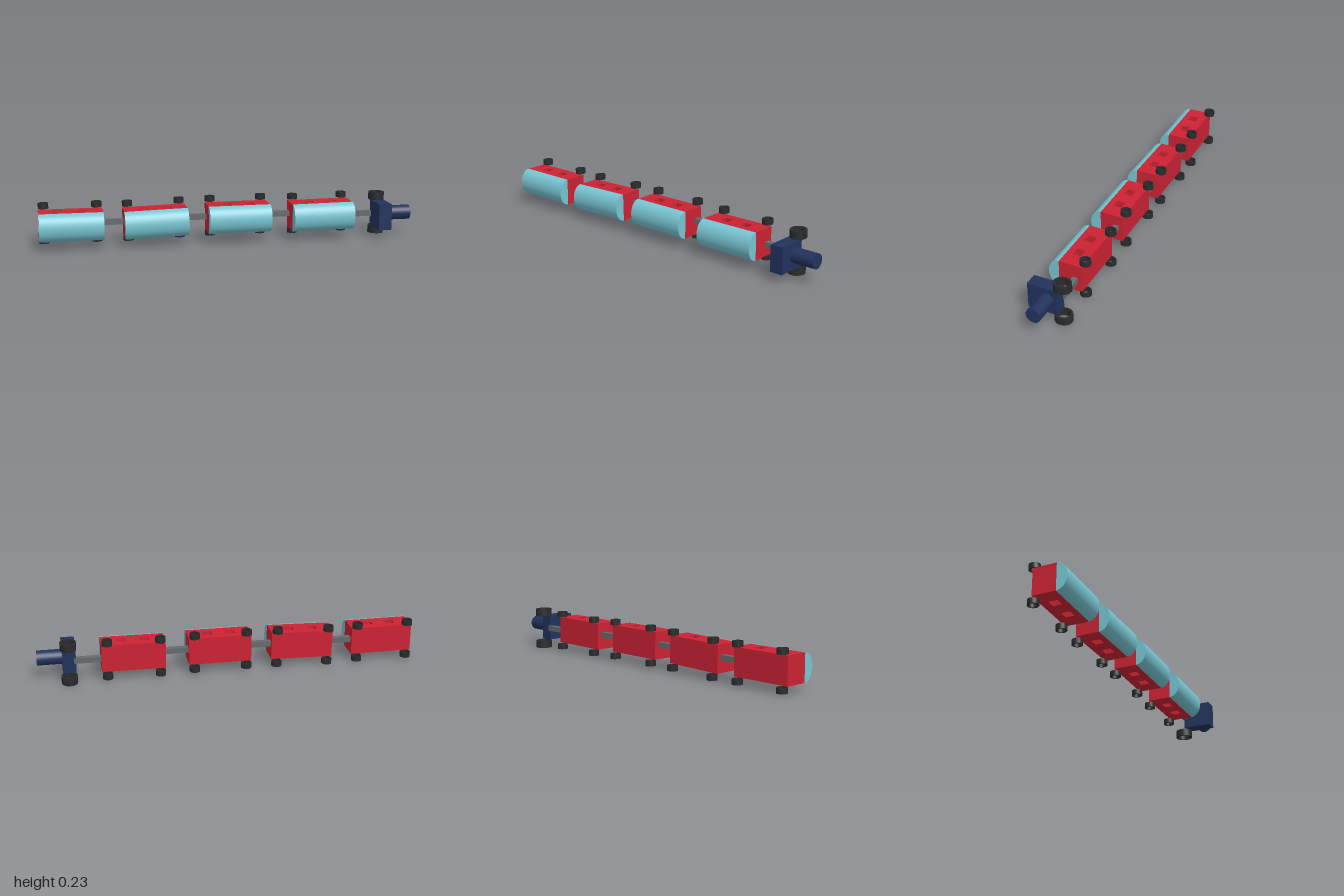
import * as THREE from 'three';

const material = (color) => new THREE.MeshStandardMaterial({ color });
const red = material(0xcc2233);
const teal = material(0x78c5d2);
const navy = material(0x21325c);
const black = material(0x2a2b2c);
const grey = material(0x666a6c);

function add(parent, name, geometry, mat, x = 0, y = 0, z = 0) {
  const mesh = new THREE.Mesh(geometry, mat);
  mesh.name = name;
  mesh.position.set(x, y, z);
  parent.add(mesh);
  return mesh;
}

// Hollow, slightly oval wheel with its axis along y
function wheelGeometry(rx, rz, height) {
  const h = height / 2, inner = 0.76;
  // each face has its own points so the rims stay sharp
  const profile = [[inner, -h], [1, -h], [1, -h], [1, h], [1, h], [inner, h], [inner, h], [inner, -h]];
  const index = [];
  const geometry = new THREE.LatheGeometry(profile.map(([r, y]) => new THREE.Vector2(r, y)), 32);
  // keep only the real faces, dropping the zero-width strips at the corners
  for (let i = 0; i < 32; i++) {
    for (let j = 0; j < 7; j += 2) {
      const a = i * 8 + j, b = a + 8;
      index.push(a, b, a + 1, b + 1, a + 1, b);
    }
  }
  geometry.setIndex(index);
  geometry.scale(rx, 1, rz);
  const flat = geometry;
  flat.computeVertexNormals();
  return flat;
}

const LENGTH = 0.332, HALF = 0.073;

// Red body: side outline in x/z with two square windows cut right through
function bodyGeometry() {
  const x = LENGTH / 2;
  const shape = new THREE.Shape();
  shape.moveTo(-x, -0.05).lineTo(x, -0.05).lineTo(x, 0.075).lineTo(-x, 0.075).closePath();
  for (const cx of [0.104 - x, 0.227 - x]) {
    const hole = new THREE.Path();
    hole.moveTo(cx - 0.024, -0.015).lineTo(cx - 0.024, 0.031);
    hole.lineTo(cx + 0.024, 0.031).lineTo(cx + 0.024, -0.015).closePath();
    shape.holes.push(hole);
  }
  const geometry = new THREE.ExtrudeGeometry(shape, { depth: 2 * HALF, bevelEnabled: false });
  // shape y becomes -z, extrusion becomes y
  return geometry.rotateX(-Math.PI / 2).translate(0, -HALF, 0);
}

// Rounded roof: half ellipse run along the wagon
function roofGeometry() {
  const shape = new THREE.Shape();
  shape.absellipse(0, 0, 0.056, HALF, -Math.PI / 2, Math.PI / 2, false, 0);
  shape.closePath();
  const geometry = new THREE.ExtrudeGeometry(shape, { depth: LENGTH, bevelEnabled: false, curveSegments: 24 });
  // shape x becomes z, extrusion becomes -x
  return geometry.rotateY(-Math.PI / 2).translate(LENGTH / 2, 0, 0.05);
}

export function createModel() {
  const model = new THREE.Group();
  model.name = 'toyTrain';

  // Wagons: centre x, centre y, small tilt
  const body = bodyGeometry(), roof = roofGeometry();
  const wagonWheel = wheelGeometry(0.027, 0.029, 0.028);
  const wagons = [[-0.834, 0.119, 0], [-0.394, 0.12, 0.028], [0.048, 0.127, 0.004], [0.503, 0.123, 0.01]];
  for (const [x, y, tilt] of wagons) {
    const wagon = new THREE.Group();
    wagon.name = 'wagon';
    wagon.position.set(x, y, 0);
    wagon.rotation.z = tilt;
    add(wagon, 'wagonBody', body, red);
    add(wagon, 'wagonRoof', roof, teal);
    for (const wx of [-0.138, 0.138]) {
      for (const side of [-1, 1]) add(wagon, 'wagonWheel', wagonWheel, black, wx, side * 0.0925, -0.081);
    }
    model.add(wagon);
  }

  // Coupling bars: start x, end x, height
  for (const [a, b, y] of [[-0.68, -0.55, 0.121], [-0.24, -0.11, 0.13], [0.205, 0.345, 0.13], [0.66, 0.81, 0.114]]) {
    add(model, 'coupling', new THREE.BoxGeometry(b - a, 0.029, 0.029), grey, (a + b) / 2, y, -0.039);
  }

  // Engine: upright cab, boiler pointing along +x, one pair of large wheels
  const engine = new THREE.Group();
  engine.name = 'engine';
  add(engine, 'cab', new THREE.BoxGeometry(0.07, 0.14, 0.157), navy, 0.835, 0.117, 0.032);
  const boiler = new THREE.CylinderGeometry(0.039, 0.039, 0.135, 32).rotateZ(Math.PI / 2);
  add(engine, 'boiler', boiler, navy, 0.9325, 0.122, 0.008);
  const engineWheel = wheelGeometry(0.042, 0.0465, 0.041);
  for (const y of [0.0215, 0.207]) add(engine, 'engineWheel', engineWheel, black, 0.838, y, -0.063);
  model.add(engine);

  return model;
}
